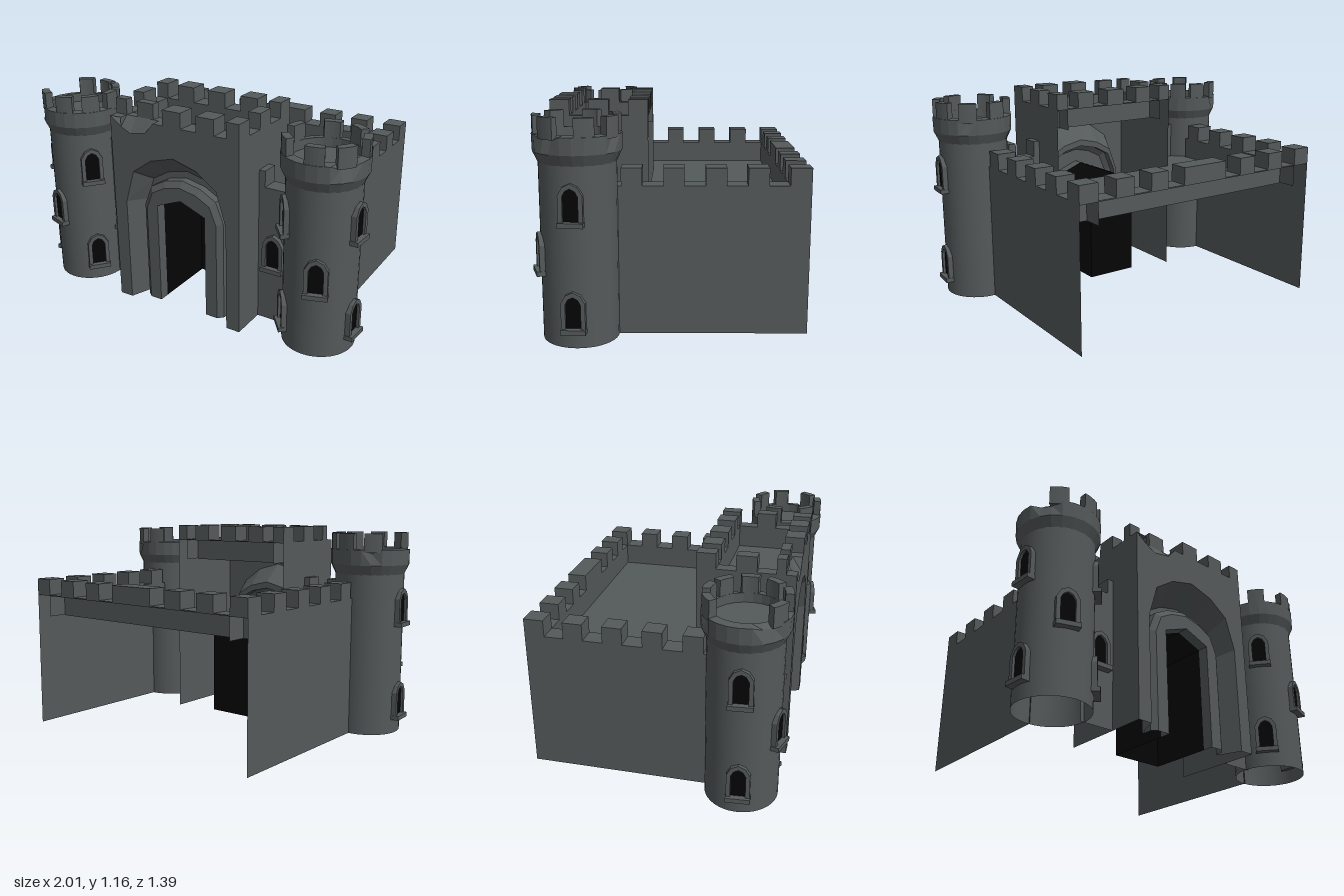
import * as THREE from 'three';

const stone = new THREE.MeshStandardMaterial({ color: 0x54595a, side: THREE.DoubleSide });
stone.name = 'darkStone';
const dark = new THREE.MeshStandardMaterial({ color: 0x050505, side: THREE.DoubleSide });
dark.name = 'blackOpening';

function add(parent, name, geometry, material = stone) {
  const mesh = new THREE.Mesh(geometry, material);
  mesh.name = name;
  parent.add(mesh);
  return mesh;
}

// Box given by its minimum and maximum on each axis
function block(parent, name, x0, x1, y0, y1, z0, z1) {
  const m = add(parent, name, new THREE.BoxGeometry(x1 - x0, y1 - y0, z1 - z0));
  m.position.set((x0 + x1) / 2, (y0 + y1) / 2, (z0 + z1) / 2);
}

// Faceted surface through rows of points with equal counts
function loft(rows) {
  const pos = [];
  for (let i = 0; i < rows.length - 1; i++) {
    for (let j = 0; j < rows[i].length - 1; j++) {
      const a = rows[i][j], b = rows[i][j + 1], c = rows[i + 1][j + 1], d = rows[i + 1][j];
      pos.push(...a, ...b, ...c, ...a, ...c, ...d);
    }
  }
  const g = new THREE.BufferGeometry();
  g.setAttribute('position', new THREE.Float32BufferAttribute(pos, 3));
  g.computeVertexNormals();
  return g;
}

const flat = (pts) => new THREE.ShapeGeometry(new THREE.Shape(pts.map(([x, y]) => new THREE.Vector2(x, y))));
const atZ = (outline, z) => outline.map(([x, y]) => [x, y, z]);

// Pointed, faceted arch outline from left foot to right foot
function arch(w, spring, top, rise = [0.6, 0.87]) {
  const h = top - spring;
  const left = [[-w, 0], [-w, spring], [-w * 0.82, spring + h * rise[0]], [-w * 0.45, spring + h * rise[1]]];
  return [...left, [0, top], ...left.map(([x, y]) => [-x, y]).reverse()];
}

// Hollow crenellated wall run along +x, outer face at z = 0
function battlement(parent, name, length, merlons, top, tip, thick, outerBottom, innerBottom) {
  const g = new THREE.Group();
  g.name = name;
  const steps = [[0, top], ...merlons.flatMap(([a, b]) => [[a, top], [a, tip], [b, tip], [b, top]]), [length, top]];
  const line = steps.filter(([x, y], i) => i === 0 || x !== steps[i - 1][0] || y !== steps[i - 1][1]);
  add(g, 'crenellatedTop', loft([atZ(line, 0), atZ(line, -thick)]));
  add(g, 'outerFace', flat([...line, [length, outerBottom], [0, outerBottom]]));
  add(g, 'innerFace', flat([...line, [length, innerBottom], [0, innerBottom]])).position.z = -thick;
  parent.add(g);
  return g;
}

// Places two mirrored runs facing +x and -x, starting at the front
function sideBattlements(parent, x, z, ...args) {
  for (const s of [1, -1]) {
    const side = new THREE.Group();
    side.name = s > 0 ? 'leftSide' : 'rightSide';
    side.scale.x = s;
    const run = battlement(side, ...args);
    run.position.set(x, 0, z);
    run.rotation.y = Math.PI / 2;
    parent.add(side);
  }
}

// Arched window facing +z, origin at bottom centre of the frame
function makeWindow() {
  const g = new THREE.Group();
  g.name = 'window';
  const outline = (w, y0, spring, shoulder, top) => [
    [-w, y0], [w, y0], [w, spring], [w * 0.62, shoulder], [0, top], [-w * 0.62, shoulder], [-w, spring],
  ];
  const toPath = (pts) => pts.map(([x, y]) => new THREE.Vector2(x, y));
  const frame = new THREE.Shape(toPath(outline(0.06, 0, 0.155, 0.195, 0.213)));
  frame.holes.push(new THREE.Path(toPath(outline(0.038, 0.022, 0.15, 0.176, 0.188))));
  add(g, 'windowFrame', new THREE.ExtrudeGeometry(frame, { depth: 0.043, bevelEnabled: false })).position.z = -0.025;
  add(g, 'windowOpening', flat(outline(0.04, 0.015, 0.152, 0.178, 0.192)), dark).position.z = 0.004;
  block(g, 'windowSill', -0.063, 0.063, 0, 0.025, -0.02, 0.034);
  return g;
}

// Round tower standing on its own axis; merlons sit at the given angles
function makeTower(merlonAngles) {
  const g = new THREE.Group();
  g.name = 'tower';
  const R = 0.194;
  add(g, 'towerShaft', new THREE.CylinderGeometry(R, R, 0.92, 40, 1, true)).position.y = 0.46;

  // Flared, slightly chipped crown with a sunken floor
  const n = 24, profile = [[R, 0.905], [0.22, 0.96], [0.222, 1.045], [0.175, 1.05], [0.175, 1.0], [0.001, 1.0]];
  const rows = profile.map(([r, y], i) => {
    const row = [];
    for (let k = 0; k <= n; k++) {
      const a = (k / n) * Math.PI * 2;
      const chip = i === 2 && [3, 4, 10, 17].includes(k % n) ? 0.02 : 0;
      row.push([Math.sin(a) * (r - chip), y - chip, Math.cos(a) * (r - chip)]);
    }
    return row;
  });
  add(g, 'towerCrown', loft(rows));

  // Curved merlons around the rim
  const s = new THREE.Shape(), half = 0.23;
  s.absarc(0, 0, 0.218, -half, half, false);
  s.absarc(0, 0, 0.176, half, -half, true);
  const merlon = new THREE.ExtrudeGeometry(s, { depth: 0.105, bevelEnabled: false, curveSegments: 3 });
  for (const deg of merlonAngles) {
    const m = add(g, 'towerMerlon', merlon);
    m.rotation.set(-Math.PI / 2, 0, THREE.MathUtils.degToRad(deg - 90));
    m.position.y = 1.03;
  }

  // Windows winding round the shaft: angle from the front, height
  for (const [deg, y] of [[-51, 0.08], [-51, 0.615], [18, 0.345], [86, 0.08], [86, 0.615]]) {
    const w = makeWindow(), a = THREE.MathUtils.degToRad(deg);
    w.position.set(Math.sin(a) * R, y, Math.cos(a) * R);
    w.rotation.y = a;
    g.add(w);
  }
  return g;
}

const hallTop = 0.775, hallTip = 0.865, hallRoof = 0.65;

// Main hall: sunken roof inside hollow battlements, open at the back
function makeHall() {
  const g = new THREE.Group();
  g.name = 'hall';
  const back = -0.695, X = 0.77, t = 0.107, front = 0.275;
  block(g, 'hallRoof', -X + t, X - t, hallRoof - 0.004, hallRoof, back + t, 0.13);
  for (const x of [-X + t, 0.4]) block(g, 'hallRoofWing', x, x + X - t - 0.4, hallRoof - 0.004, hallRoof, 0.13, 0.355);

  const sides = [0, 1, 2, 3, 4].map((i) => [0.023 + i * 0.2105, 0.128 + i * 0.2105]);
  sideBattlements(g, X, front, 'sideWall', front - back, sides, hallTop, hallTip, t, 0, hallRoof);

  // Back run with a wide middle merlon
  const half = [[0, 0.105], [0.21, 0.315], [0.42, 0.525]];
  const merlons = [...half, [0.63, 0.91], ...half.map(([a, b]) => [2 * X - b, 2 * X - a]).reverse()];
  const run = battlement(g, 'backBattlement', 2 * X, merlons, hallTop, hallTip, t, hallTop - 0.006, hallRoof);
  run.position.set(X, 0, back);
  run.rotation.y = Math.PI;
  return g;
}

// Short curtain wall between gatehouse and tower on the +x side
function makeCurtain() {
  const g = new THREE.Group();
  g.name = 'curtainWall';
  const run = battlement(g, 'curtainBattlement', 0.2, [[0, 0.036], [0.155, 0.2]], hallTop, hallTip, 0.1, 0, hallRoof);
  run.position.set(0.4, 0, 0.455);
  const w = makeWindow();
  w.position.set(0.495, 0.305, 0.463);
  g.add(w);
  return g;
}

function makeGatehouse() {
  const g = new THREE.Group();
  g.name = 'gatehouse';
  const top = 1.08, tip = 1.165, front = 0.655, back = 0.13, roof = 0.955;
  const outer = arch(0.32, 0.6, 0.91);
  const chip = [[-0.4, top], [-0.33, 1.03], [-0.27, 1.0], [-0.17, 1.02], [-0.12, top]];

  // Front wall with arch cut-out and chipped top edge
  add(g, 'gateFront', flat([...outer, [0.4, 0], [0.4, top], ...chip.slice().reverse(), [-0.4, 0]])).position.z = front;
  add(g, 'chippedEdge', loft([atZ(chip, front), chip.map(([x]) => [x, top, 0.6])]));

  // Splayed recess and the stepped door surround
  const inner = arch(0.153, 0.59, 0.65, [0.18, 0.55]);
  add(g, 'archSurround', loft([
    atZ(outer, front),
    atZ(arch(0.272, 0.58, 0.8), 0.53),
    atZ(arch(0.255, 0.57, 0.76), 0.53),
    atZ(arch(0.255, 0.57, 0.76), 0.575),
    atZ(arch(0.225, 0.56, 0.725), 0.6),
    atZ(inner, 0.6),
    atZ(inner, 0.54),
  ]));

  // Black passage behind the doorway
  add(g, 'doorPassage', loft([atZ(inner, 0.54), atZ(inner, 0.18)]), dark);
  add(g, 'doorway', flat(inner), dark).position.z = 0.18;

  // Sunken roof inside battlements on all four sides
  block(g, 'gateRoof', -0.33, 0.33, roof - 0.004, roof, back + 0.105, 0.55);
  const merlons = [[0, 0.07], [0.14, 0.245], [0.343, 0.455], [0.548, 0.655], [0.725, 0.8]];
  battlement(g, 'frontBattlement', 0.8, merlons, top, tip, 0.05, top - 0.006, roof).position.set(-0.4, 0, 0.6);
  const lip = merlons.slice(2).map(([a, b]) => [a - 0.28, b - 0.28]);
  battlement(g, 'frontLip', 0.52, lip, top, tip, 0.055, top - 0.006, top - 0.006).position.set(-0.12, 0, front);
  const rear = battlement(g, 'rearBattlement', 0.8, merlons, top, tip, 0.105, top - 0.006, roof);
  rear.position.set(0.4, 0, back);
  rear.rotation.y = Math.PI;
  const sideMerlons = [[0.055, 0.105], [0.205, 0.315], [0.42, 0.525]];
  sideBattlements(g, 0.4, front, 'gateSide', front - back, sideMerlons, top, tip, 0.07, 0, roof);
  return g;
}

export function createModel() {
  const model = new THREE.Group();
  model.name = 'castle';
  model.add(makeHall(), makeGatehouse());
  const wings = [['leftWing', 1, [10, 52, 106, 150, 196, 255, 312]], ['rightWing', -1, [35, 148, 190, 225, 265, 305, 345]]];
  for (const [name, s, merlonAngles] of wings) {
    const wing = new THREE.Group();
    wing.name = name;
    const tower = makeTower(merlonAngles);
    tower.position.set(0.772, 0, 0.462);
    wing.add(tower, makeCurtain());
    wing.scale.x = s;
    model.add(wing);
  }
  return model;
}
